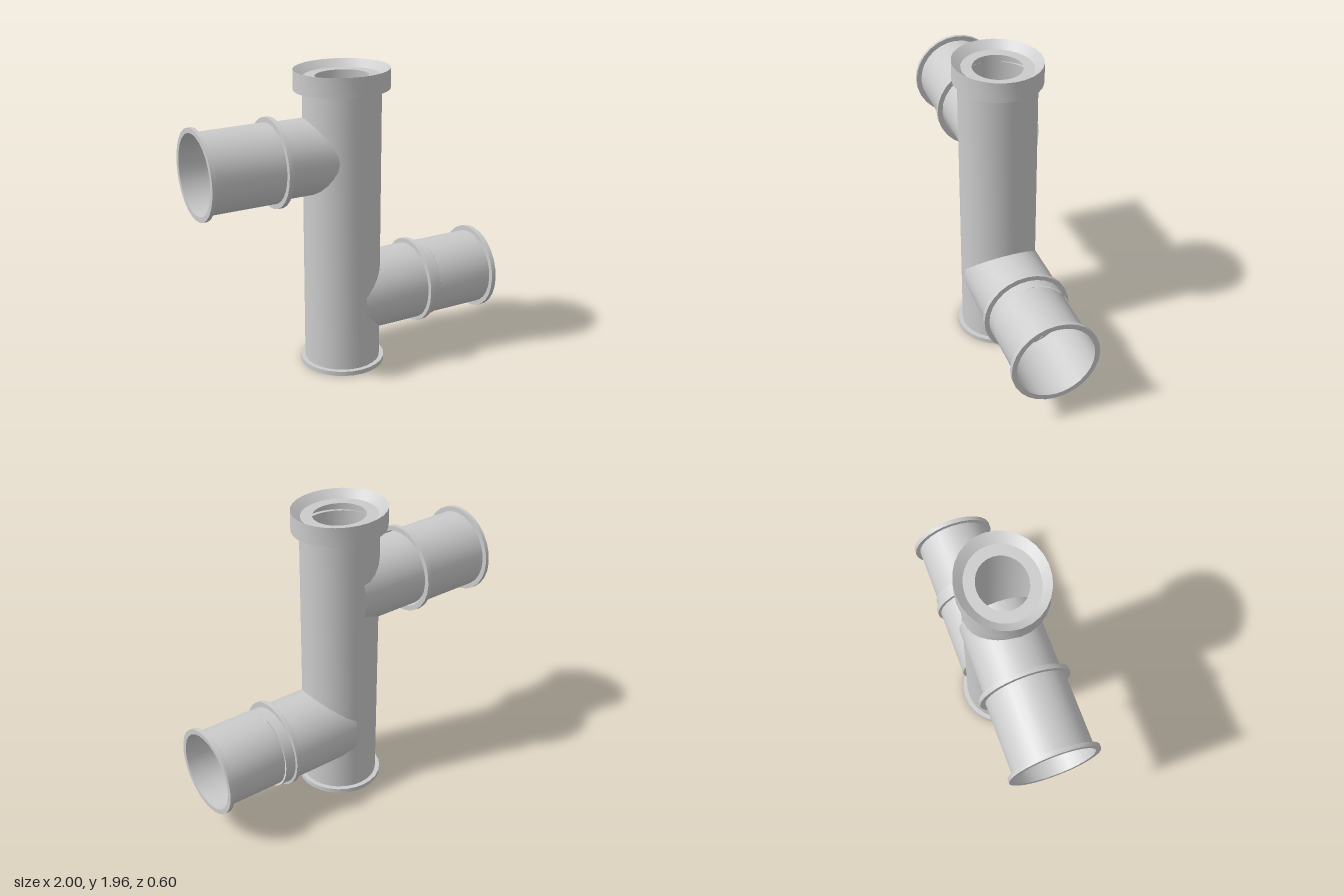
import * as THREE from 'three';
import { toCreasedNormals } from 'three/addons/utils/BufferGeometryUtils.js';

const SIDES = 28;
const material = new THREE.MeshStandardMaterial({ color: 0xcccccc, side: THREE.DoubleSide });

// Revolve [radius, distance] pairs about the y axis, keeping corners sharp
function revolve(name, profile) {
  const points = profile.map(([r, h]) => new THREE.Vector2(r, h));
  const mesh = new THREE.Mesh(toCreasedNormals(new THREE.LatheGeometry(points, SIDES), 0.6), material);
  mesh.name = name;
  return mesh;
}

// Thin open tube
const tube = (name, radius, from, to) => revolve(name, [[radius, from], [radius, to]]);

// Square-edged ring with a hole
const ring = (name, inner, outer, from, to) =>
  revolve(name, [[inner, from], [outer, from], [outer, to], [inner, to], [inner, from]]);

// Side pipe along x: an inner sleeve, a wider or narrower outer tube and two flanges
function branch(name, { y, z, sleeveY, sleeveZ, sleeveRadius, start, joint, flanges }) {
  const group = new THREE.Group();
  group.name = name;
  const place = (mesh, py, pz) => {
    mesh.rotation.z = -Math.PI / 2;
    mesh.position.set(0, py, pz);
    group.add(mesh);
  };
  const end = flanges[1][1];
  place(tube('branchSleeve', sleeveRadius, start, joint), sleeveY, sleeveZ);
  place(tube('branchPipe', 0.25, joint, end), y, z);
  flanges.forEach(([a, b], i) =>
    place(ring(i ? 'endFlange' : 'middleFlange', 0.25, 0.282, a, b), y, z));
  return group;
}

export function createModel() {
  const model = new THREE.Group();
  model.name = 'pipeJunction';

  // Upright pipe with its foot flange and dished top collar
  const column = new THREE.Group();
  column.name = 'uprightPipe';
  column.position.set(-0.03, 0, 0.013);
  const collar = revolve('topCollar', [
    [0.245, 1.83], [0.306, 1.83], [0.306, 1.955], [0.245, 1.91], [0.17, 1.91],
  ]);
  collar.scale.z = 0.9;
  column.add(
    tube('mainPipe', 0.245, 0, 1.91),
    ring('footFlange', 0.245, 0.275, 0, 0.03),
    collar,
  );
  model.add(column);

  // Upper branch to the right, lower branch to the left
  model.add(
    branch('upperBranch', {
      y: 1.415, z: -0.019, sleeveY: 1.42, sleeveZ: -0.02, sleeveRadius: 0.24,
      start: -0.03, joint: -0.5, flanges: [[-0.515, -0.485], [-0.975, -1]],
    }),
    branch('lowerBranch', {
      y: 0.452, z: 0.012, sleeveY: 0.447, sleeveZ: 0.006, sleeveRadius: 0.256,
      start: 0.015, joint: 0.58, flanges: [[0.48, 0.51], [0.97, 1]],
    }),
  );
  return model;
}
